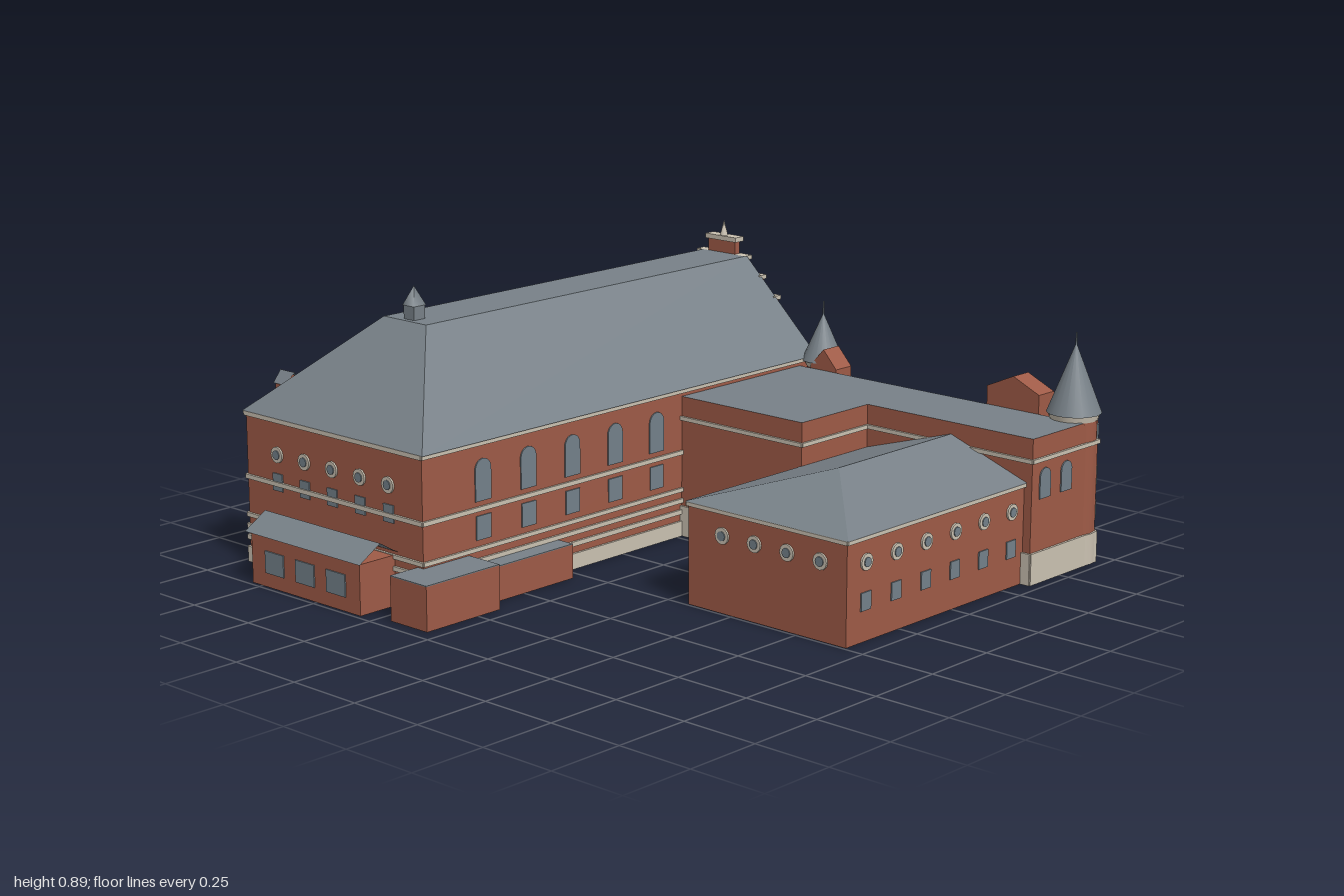
import * as THREE from 'three';

const mat = (name, color) => new THREE.MeshStandardMaterial({ name, color, side: THREE.DoubleSide });
const brick = mat('brick', 0x9f5b47);
const roof = mat('slate', 0x788188);
const stone = mat('stone', 0xcbc2b2);
const glass = mat('glass', 0x74818a);

function add(parent, name, geo, material, x = 0, y = 0, z = 0) {
  const m = new THREE.Mesh(geo, material);
  m.name = name;
  m.position.set(x, y, z);
  parent.add(m);
  return m;
}

// Box given by its limits
function block(parent, name, material, x0, x1, y0, y1, z0, z1) {
  return add(parent, name, new THREE.BoxGeometry(x1 - x0, y1 - y0, z1 - z0), material,
    (x0 + x1) / 2, (y0 + y1) / 2, (z0 + z1) / 2);
}

// Flat polygons, each split into a fan
function facets(polys) {
  const p = [];
  for (const f of polys) for (let i = 1; i < f.length - 1; i++) p.push(...f[0], ...f[i], ...f[i + 1]);
  const g = new THREE.BufferGeometry();
  g.setAttribute('position', new THREE.Float32BufferAttribute(p, 3));
  g.computeVertexNormals();
  return g;
}

// Open shell of upright walls along a path of [x, z], running counter-clockwise from above
function walls(parent, name, path, top) {
  const quads = [];
  for (let i = 0; i < path.length - 1; i++) {
    const [a, b] = path[i], [c, d] = path[i + 1];
    quads.push([[a, 0, b], [c, 0, d], [c, top, d], [a, top, b]]);
  }
  add(parent, name, facets(quads), brick);
}

// Thin stone course along the outside of a wall path
function course(parent, name, path, y0, y1, t = 0.008) {
  for (let i = 0; i < path.length - 1; i++) {
    const [a, b] = path[i], [c, d] = path[i + 1];
    const len = Math.hypot(c - a, d - b), nx = -(d - b) / len, nz = (c - a) / len;
    const m = add(parent, name, new THREE.BoxGeometry(len + t, y1 - y0, t), stone,
      (a + c) / 2 + nx * t / 2, (y0 + y1) / 2, (b + d) / 2 + nz * t / 2);
    m.rotation.y = Math.atan2(nx, nz);
  }
}

// Group on a wall: local x runs along the wall, local z points outward
function face(parent, name, side, at) {
  const g = new THREE.Group();
  g.name = name;
  g.rotation.y = { front: 0, back: Math.PI, east: Math.PI / 2, west: -Math.PI / 2 }[side];
  if (side === 'front' || side === 'back') g.position.z = at; else g.position.x = at;
  g.userData.sign = side === 'front' || side === 'west' ? 1 : -1;
  parent.add(g);
  return g;
}

function archShape(w, h, Type = THREE.Shape) {
  const s = new Type(), r = w / 2;
  s.moveTo(-r, 0);
  s.lineTo(r, 0);
  s.lineTo(r, h - r);
  s.absarc(0, h - r, r, 0, Math.PI, false);
  s.lineTo(-r, 0);
  return s;
}
const extrude = (s, depth) => new THREE.ExtrudeGeometry(s, { depth, bevelEnabled: false, curveSegments: 8 });

function arched(f, us, y0, y1, w) {
  for (const u of us) add(f, 'archedWindow', extrude(archShape(w, y1 - y0), 0.004), glass, u * f.userData.sign, y0, 0);
}
function panes(f, us, y0, y1, w) {
  for (const u of us) add(f, 'window', new THREE.BoxGeometry(w, y1 - y0, 0.008), glass, u * f.userData.sign, (y0 + y1) / 2, 0);
}
function portholes(f, us, y) {
  for (const u of us) for (const [r, d, m, n] of [[0.026, 0.012, stone, 'roundFrame'], [0.015, 0.018, glass, 'roundPane']])
    add(f, n, new THREE.CylinderGeometry(r, r, d, 12).rotateX(Math.PI / 2), m, u * f.userData.sign, y, 0);
}

// Prism with a pointed top, pointing along z
function gabled(w, base, eave, ridge, depth) {
  const s = new THREE.Shape([[-w / 2, base], [w / 2, base], [w / 2, eave], [0, ridge], [-w / 2, eave]]
    .map(([x, y]) => new THREE.Vector2(x, y)));
  return extrude(s, depth);
}

const range = (n, start, step) => Array.from({ length: n }, (_, i) => start + i * step);

function mainHall() {
  const g = new THREE.Group();
  g.name = 'mainHall';
  const W = -0.975, E = -0.18, F = 0.845, B = -0.925;
  const path = [[W, B], [W, F], [E, F], [E, B]];
  walls(g, 'hallWalls', path, 0.485);
  add(g, 'backGableWall', facets([[[E, 0, B], [W, 0, B], [W, 0.485, B], [-0.67, 0.775, B], [-0.48, 0.775, B], [E, 0.485, B]]]), brick);
  const ring = [...path, [W, B]];
  for (const [a, b] of [[0, 0.05], [0.073, 0.088], [0.11, 0.124], [0.147, 0.16], [0.27, 0.284], [0.472, 0.486]])
    course(g, 'stoneCourse', ring, a, b);

  // Roof hipped at the front with a flat ridge
  const e = 0.485, t = 0.78, x0 = -0.985, x1 = -0.168, z0 = -0.932, z1 = 0.853;
  const A = [-0.67, t, 0.54], C = [-0.48, t, 0.54], D = [-0.48, t, z0], H = [-0.67, t, z0];
  add(g, 'hallRoof', facets([
    [[x0, e, z1], [x1, e, z1], C, A], [[x1, e, z1], [x1, e, z0], D, C],
    [[x0, e, z0], [x0, e, z1], A, H], [A, C, D, H]]), roof);

  const front = face(g, 'frontWindows', 'front', F), fx = range(5, -0.83, 0.126);
  portholes(front, fx, 0.37);
  panes(front, fx, 0.255, 0.31, 0.045);
  const east = face(g, 'eastWindows', 'east', E);
  arched(east, range(5, -0.16, 0.19), 0.3, 0.43, 0.065);
  panes(east, range(5, -0.16, 0.19), 0.18, 0.255, 0.06);
  const west = face(g, 'westWindows', 'west', W);
  arched(west, range(9, -0.77, 0.19), 0.3, 0.43, 0.065);
  panes(west, range(9, -0.77, 0.19), 0.18, 0.255, 0.06);

  // Roof dormers and ventilator
  for (const z of [-0.32, 0.03, 0.38, 0.72]) {
    const d = face(g, 'dormer', 'west', -0.885);
    d.position.z = z;
    add(d, 'dormerBody', gabled(0.05, 0.52, 0.565, 0.59, 0.065), brick);
    add(d, 'dormerRoof', facets([-1, 1].map(s =>
      [[0, 0.598, 0], [0, 0.598, 0.069], [s * 0.03, 0.56, 0.069], [s * 0.03, 0.56, 0.02]])), roof);
    panes(d, [0], 0.535, 0.562, 0.022);
    d.children.at(-1).position.z = 0.065;
  }
  block(g, 'ventilator', roof, -0.598, -0.552, 0.775, 0.825, 0.477, 0.523);
  add(g, 'ventilatorCap', new THREE.ConeGeometry(0.036, 0.06, 4).rotateY(Math.PI / 4), roof, -0.575, 0.853, 0.5);

  // Stepped gable with portal
  const bay = face(g, 'steppedGable', 'back', B);
  bay.position.x = -0.588;
  const steps = [[0.235, 0.65], [0.17, 0.712], [0.105, 0.77], [0.06, 0.825]];
  const half = [[0.235, 0]];
  steps.forEach(([w, h], i) => { half.push([w, h]); if (steps[i + 1]) half.push([steps[i + 1][0], h]); });
  const outline = [...half, ...half.map(([x, y]) => [-x, y]).reverse()];
  add(bay, 'gableBay', extrude(new THREE.Shape(outline.map(([x, y]) => new THREE.Vector2(x, y))), 0.024), brick);
  for (const s of [-1, 1]) {
    steps.slice(0, 3).forEach(([w, h], i) => {
      const a = s * w, b = s * (steps[i + 1][0] - 0.005);
      block(bay, 'coping', stone, Math.min(a, b) - 0.004, Math.max(a, b) + 0.004, h - 0.004, h + 0.01, -0.004, 0.032);
    });
    block(bay, 'pilaster', stone, s * 0.145 - 0.011, s * 0.145 + 0.011, 0, 0.56, 0.02, 0.034);
    block(bay, 'cornerStrip', stone, s * 0.226 - 0.008, s * 0.226 + 0.008, 0, 0.05, 0.02, 0.03);
  }
  block(bay, 'gableCap', stone, -0.068, 0.068, 0.822, 0.838, -0.006, 0.034);
  add(bay, 'finial', new THREE.ConeGeometry(0.014, 0.055, 8), stone, 0, 0.863, 0.012);
  const bayFace = new THREE.Group();
  bayFace.name = 'portal';
  bayFace.position.z = 0.024;
  bayFace.userData.sign = 1;
  bay.add(bayFace);
  const arch = archShape(0.17, 0.2);
  arch.holes.push(archShape(0.11, 0.165, THREE.Path));
  add(bayFace, 'doorArch', extrude(arch, 0.012), stone);
  arched(bayFace, [0], 0, 0.165, 0.11);
  block(bayFace, 'windowSurround', stone, -0.105, 0.105, 0.245, 0.475, -0.002, 0.006);
  for (const [a, b] of [[0.26, 0.35], [0.362, 0.46]]) panes(bayFace, [-0.063, 0, 0.063], a, b, 0.05);
  bayFace.children.slice(-6).forEach(m => { m.position.z = 0.005; });
  arched(bayFace, [-0.055, 0.055], 0.54, 0.65, 0.045);
  for (const u of [-0.19, 0.19]) for (const y of [0.18, 0.31]) panes(bayFace, [u], y, y + 0.08, 0.035);
  portholes(face(g, 'gableRoundWindows', 'back', B), [-0.88, -0.29], 0.39);
  return g;
}

function wing() {
  const g = new THREE.Group();
  g.name = 'wing';
  const W = -0.18, E = 0.96, B = -0.94, z1 = -0.86;
  const south = [[W, -0.28], [0.32, -0.28], [0.32, -0.6], [E, -0.6], [E, z1]];
  walls(g, 'wingWalls', south, 0.46);
  walls(g, 'wingBackWall', [[E, z1], [E, B], [W, B]], 0.39);
  add(g, 'wingRoofEnd', facets([[[E, 0.39, z1], [E, 0.39, B], [E, 0.46, z1]]]), brick);
  add(g, 'wingRoof', facets([
    [[W, 0.46, z1], [W, 0.46, -0.28], [0.32, 0.46, -0.28], [0.32, 0.46, z1]],
    [[0.32, 0.46, z1], [0.32, 0.46, -0.6], [E, 0.46, -0.6], [E, 0.46, z1]],
    [[W, 0.39, B], [W, 0.46, z1], [E, 0.46, z1], [E, 0.39, B]]]), roof);
  const ring = [...south.slice(0, 4), [E, B], [W, B]];
  course(g, 'wingPlinth', ring, 0, 0.1);
  course(g, 'wingCornice', ring, 0.383, 0.396);
  const back = face(g, 'backWindows', 'back', B), bx = range(8, -0.01, 0.107);
  arched(back, bx, 0.25, 0.37, 0.07);
  panes(back, bx, 0.135, 0.205, 0.06);
  arched(face(g, 'eastWindows', 'east', E), [-0.665, -0.775], 0.265, 0.36, 0.055);

  // Brick gables rising over the back slope
  for (const [x, w, ridge, eave] of [[0.69, 0.2, 0.565, 0.52], [-0.08, 0.11, 0.53, 0.47]]) {
    add(g, 'roofGable', gabled(w, 0.385, eave, ridge, 0.078), brick, x, 0, -0.939);
    arched(back, [x], 0.42, 0.5, w * 0.35);
  }
  return g;
}

function turret(x, z, r, coneR, top, tip) {
  const g = new THREE.Group();
  g.name = 'turret';
  g.position.set(x, 0, z);
  const cyl = (n, m, ra, rb, y0, y1) => add(g, n, new THREE.CylinderGeometry(rb, ra, y1 - y0, 20), m, 0, (y0 + y1) / 2, 0);
  cyl('turretShaft', brick, r, r, 0, 0.475);
  cyl('turretPlinth', stone, r + 0.006, r + 0.006, 0.001, 0.1);
  cyl('turretString', stone, r + 0.004, r + 0.004, 0.383, 0.396);
  cyl('turretCornice', stone, r + 0.002, coneR - 0.006, 0.458, 0.478);
  cyl('turretRoof', roof, coneR, 0.003, 0.478, top);
  cyl('turretSpike', roof, 0.004, 0.002, top - 0.02, tip);
  // Small windows facing outward
  for (const a of [Math.PI, Math.PI * 0.7, Math.PI * 1.3]) for (const y of [0.17, 0.28, 0.42]) {
    const m = add(g, 'turretWindow', new THREE.BoxGeometry(0.024, y > 0.4 ? 0.045 : 0.06, 0.008), glass,
      Math.sin(a) * r, y, Math.cos(a) * r);
    m.rotation.y = a;
  }
  return g;
}

function sideHall() {
  const g = new THREE.Group();
  g.name = 'sideHall';
  const W = 0.325, E = 0.932, F = 0.242, B = -0.6;
  const path = [[W, B], [W, F], [E, F], [E, B]];
  walls(g, 'sideHallWalls', path, 0.32);
  course(g, 'sideHallCornice', path, 0.307, 0.319);
  const e = 0.32, A = [0.65, 0.422, -0.06], D = [0.65, 0.422, B];
  add(g, 'sideHallRoof', facets([
    [[0.316, e, 0.25], [0.942, e, 0.25], A], [[0.942, e, 0.25], [0.942, e, B], D, A],
    [[0.316, e, B], [0.316, e, 0.25], A, D]]), roof);
  portholes(face(g, 'frontWindows', 'front', F), range(4, 0.46, 0.125), 0.24);
  for (const [side, at] of [['east', E], ['west', W]]) {
    const f = face(g, side + 'Windows', side, at), zs = range(6, -0.538, 0.139);
    portholes(f, side === 'east' ? zs : zs.slice(3), 0.24);
    panes(f, side === 'east' ? zs : zs.slice(3), 0.095, 0.15, 0.045);
  }
  return g;
}

function annexes() {
  const g = new THREE.Group();
  g.name = 'annexes';
  block(g, 'porch', brick, -0.797, -0.305, 0, 0.158, 0.845, 0.985);
  add(g, 'porchRoof', facets([
    [[-0.81, 0.163, 1], [-0.287, 0.163, 1], [-0.287, 0.213, 0.918], [-0.81, 0.213, 0.918]],
    [[-0.81, 0.213, 0.918], [-0.287, 0.213, 0.918], [-0.287, 0.172, 0.85], [-0.81, 0.172, 0.85]]]), roof);
  panes(face(g, 'porchWindows', 'front', 0.985), [-0.69, -0.55, -0.41], 0.045, 0.115, 0.085);
  for (const [x0, x1, h, z0, z1] of [[-0.205, -0.05, 0.14, 0.66, 0.955], [-0.18, -0.11, 0.11, 0.29, 0.66]]) {
    block(g, 'shed', brick, x0, x1, 0, h - 0.003, z0, z1);
    block(g, 'shedRoof', roof, x0, x1, h - 0.003, h, z0, z1);
  }
  return g;
}

export function createModel() {
  const model = new THREE.Group();
  model.name = 'townBuilding';
  model.add(mainHall(), wing(), sideHall(), annexes(),
    turret(-0.135, -0.925, 0.052, 0.07, 0.63, 0.675), turret(0.892, -0.905, 0.074, 0.086, 0.69, 0.73));
  return model;
}
